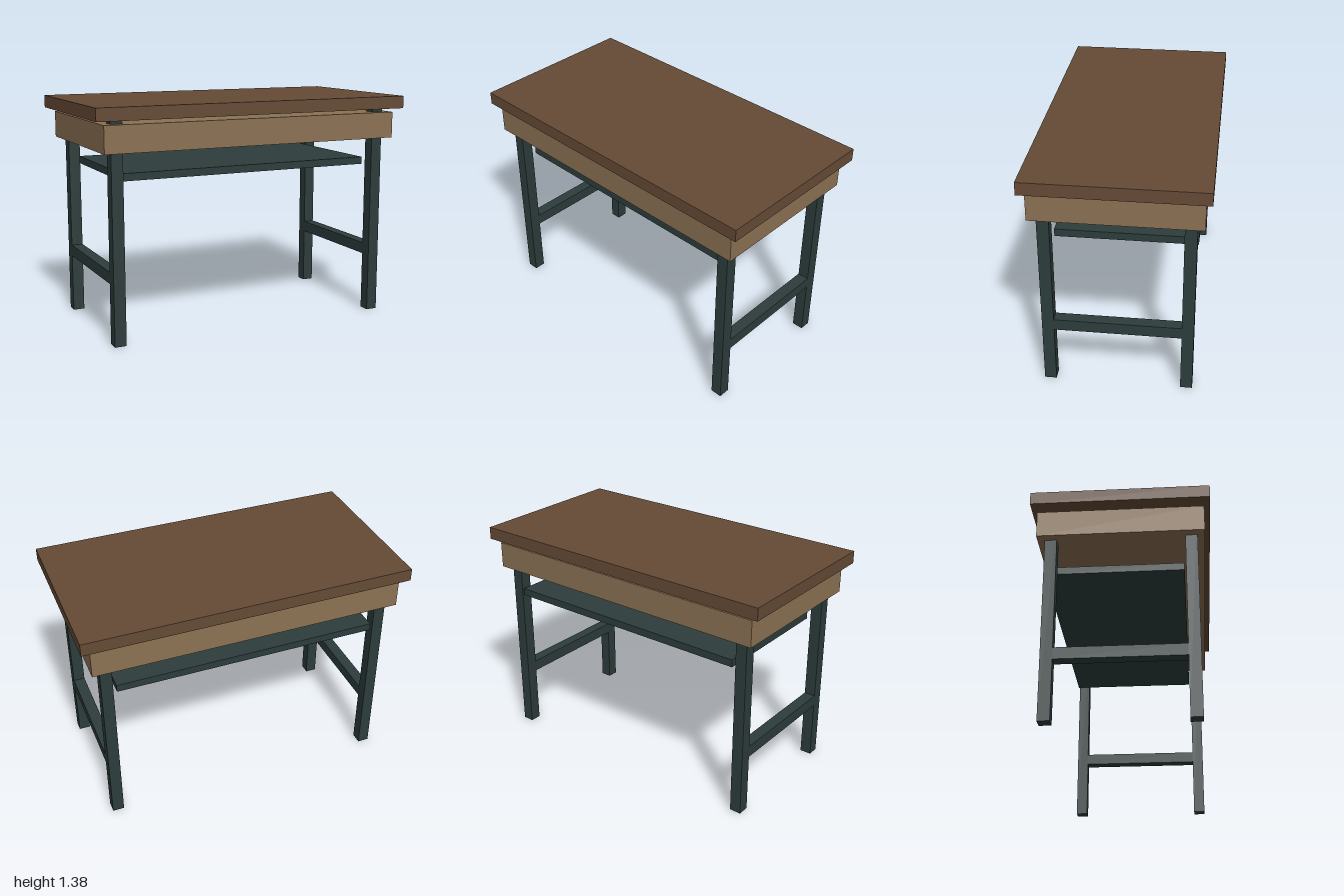
import * as THREE from 'three';

const material = (name, color) => {
  const m = new THREE.MeshStandardMaterial({ color });
  m.name = name;
  return m;
};

export function createModel() {
  const desk = new THREE.Group();
  desk.name = 'desk';
  const darkWood = material('dark wood', 0x654a35);
  const lightWood = material('light wood', 0x8b7153);
  const metal = material('dark green metal', 0x2d3c3c);

  // Box given by its extents on each axis
  const addBox = (name, mat, [x0, x1], [y0, y1], [z0, z1]) => {
    const mesh = new THREE.Mesh(new THREE.BoxGeometry(x1 - x0, y1 - y0, z1 - z0), mat);
    mesh.position.set((x0 + x1) / 2, (y0 + y1) / 2, (z0 + z1) / 2);
    mesh.name = name;
    desk.add(mesh);
  };

  // Top slab, drawer body beneath it and the hanging shelf set to the back
  addBox('tabletop', darkWood, [-1, 1], [1.304, 1.38], [-0.517, 0.517]);
  addBox('deskBody', lightWood, [-0.945, 0.945], [1.12, 1.28], [-0.482, 0.482]);
  addBox('shelf', metal, [-0.805, 0.805], [0.945, 0.99], [-0.445, 0.36]);

  // Square legs joined by a low rail on each side
  const w = 0.07;
  for (const [side, x] of [['left', 0.859], ['right', -0.859]]) {
    const span = [x - w / 2, x + w / 2];
    for (const [end, z] of [['Front', 0.405], ['Back', -0.405]]) {
      addBox(`${side}${end}Leg`, metal, span, [0, 1.304], [z - w / 2, z + w / 2]);
    }
    addBox(`${side}Rail`, metal, span, [0.36, 0.43], [-0.37, 0.37]);
  }
  return desk;
}
